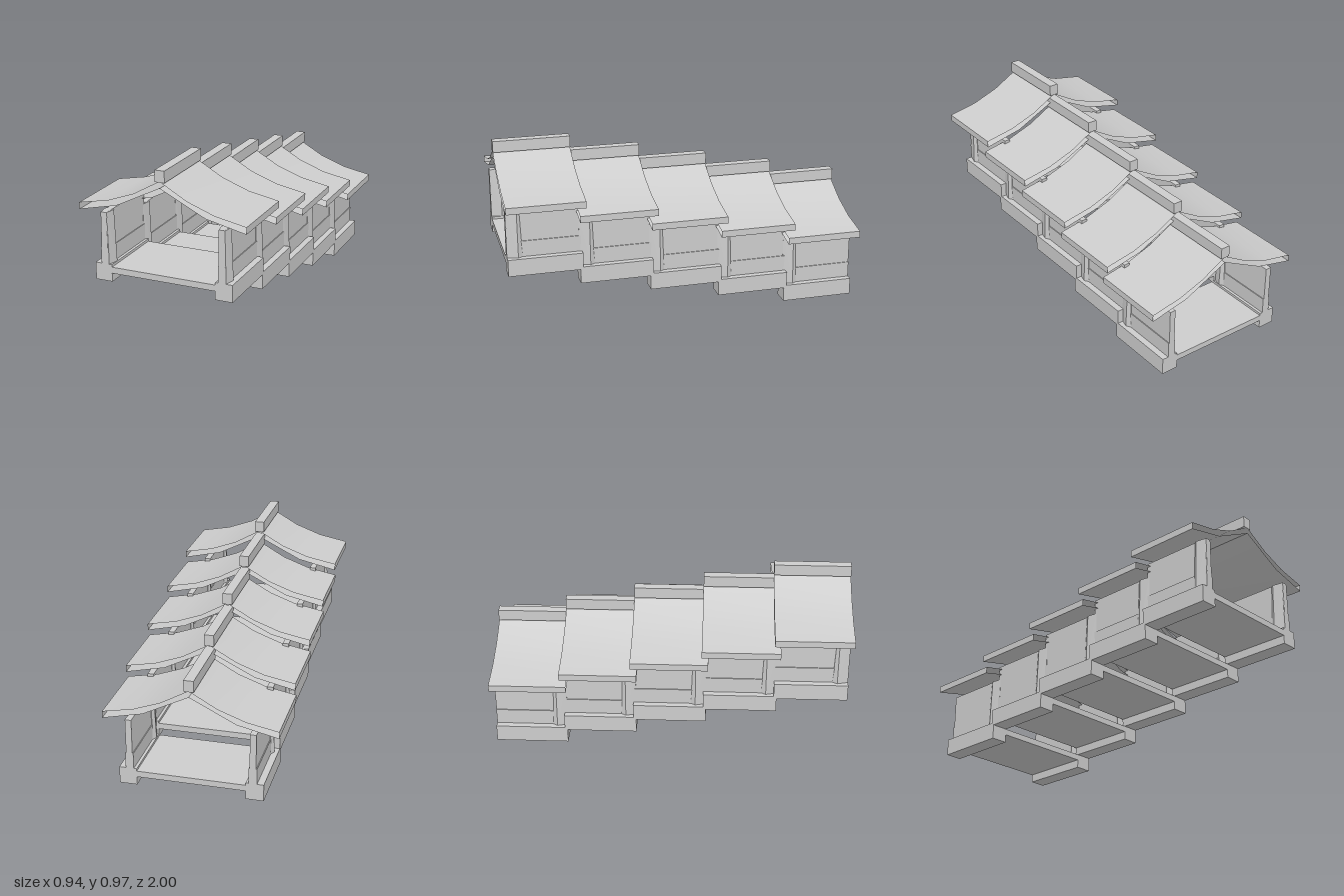
import * as THREE from 'three';
import { toCreasedNormals } from 'three/addons/utils/BufferGeometryUtils.js';
import { ConvexGeometry } from 'three/addons/geometries/ConvexGeometry.js';

const COUNT = 5, STEP_Y = 0.081, STEP_Z = 0.393;

export function createModel() {
  const group = new THREE.Group();
  const grey = new THREE.MeshStandardMaterial({ color: 0xcccccc });
  grey.name = 'plain grey';
  grey.side = THREE.DoubleSide;

  function add(parent, name, geometry) {
    const mesh = new THREE.Mesh(geometry, grey);
    mesh.name = name;
    parent.add(mesh);
  }

  // box given by its limits on each axis
  function box(x0, x1, y0, y1, z0, z1) {
    return new THREE.BoxGeometry(x1 - x0, y1 - y0, z1 - z0)
      .translate((x0 + x1) / 2, (y0 + y1) / 2, (z0 + z1) / 2);
  }

  // curved roof shell, open at both gable ends
  function roofGeometry(z0, z1) {
    const top = [[0.15, 0.83], [0.3, 0.775], [0.47, 0.742]];
    const under = [[0.47, 0.705], [0.25, 0.755]];
    const mirror = (pts) => pts.map(([x, y]) => [-x, y]).reverse();
    const profile = [...mirror(top), [0, 0.915], ...top, ...under, [0, 0.88], ...mirror(under)];
    const pos = [];
    profile.forEach(([ax, ay], i) => {
      const [bx, by] = profile[(i + 1) % profile.length];
      pos.push(ax, ay, z1, bx, by, z1, bx, by, z0);
      pos.push(ax, ay, z1, bx, by, z0, ax, ay, z0);
    });
    const g = new THREE.BufferGeometry();
    g.setAttribute('position', new THREE.Float32BufferAttribute(pos, 3));
    return toCreasedNormals(g, 0.4);
  }

  // tapered six-sided pillar that merges into the wall
  function pillarGeometry(x) {
    const points = [];
    for (const [y, t, w, back] of [[0.418, 0.022, 0.0375, 0.905], [0.703, 0.017, 0.0275, 0.915]]) {
      for (const s of [-1, 1]) {
        points.push(new THREE.Vector3(x + s * t, y, 0.988));
        points.push(new THREE.Vector3(x + s * w, y, 0.93));
        points.push(new THREE.Vector3(x + s * t, y, back));
      }
    }
    return new ConvexGeometry(points);
  }

  const roof = roofGeometry(0.571, 1);
  const ridge = box(-0.027, 0.027, 0.911, 0.974, 0.571, 1);
  const floor = box(-0.3, 0.3, 0.371, 0.405, 0.581, 0.99);

  // five stepped bays, descending towards the back
  for (let i = 0; i < COUNT; i++) {
    const bay = new THREE.Group();
    bay.name = `bay${i + 1}`;
    bay.position.set(0, -i * STEP_Y, -i * STEP_Z);
    add(bay, 'roof', roof);
    add(bay, 'ridgeBeam', ridge);
    add(bay, 'floor', floor);
    for (const [side, s] of [['left', 1], ['right', -1]]) {
      const x = s * 0.333, b = s * 0.343;
      add(bay, side + 'BaseBeam', box(b - 0.048, b + 0.048, 0.324, 0.419, 0.581, 0.99));
      add(bay, side + 'LowerWall', box(x - 0.022, x + 0.022, 0.419, 0.508, 0.581, 0.99));
      add(bay, side + 'UpperWall', box(x - 0.017, x + 0.017, 0.508, 0.704, 0.581, 0.99));
      add(bay, side + 'Pillar', pillarGeometry(x));
    }
    group.add(bay);
  }
  return group;
}
